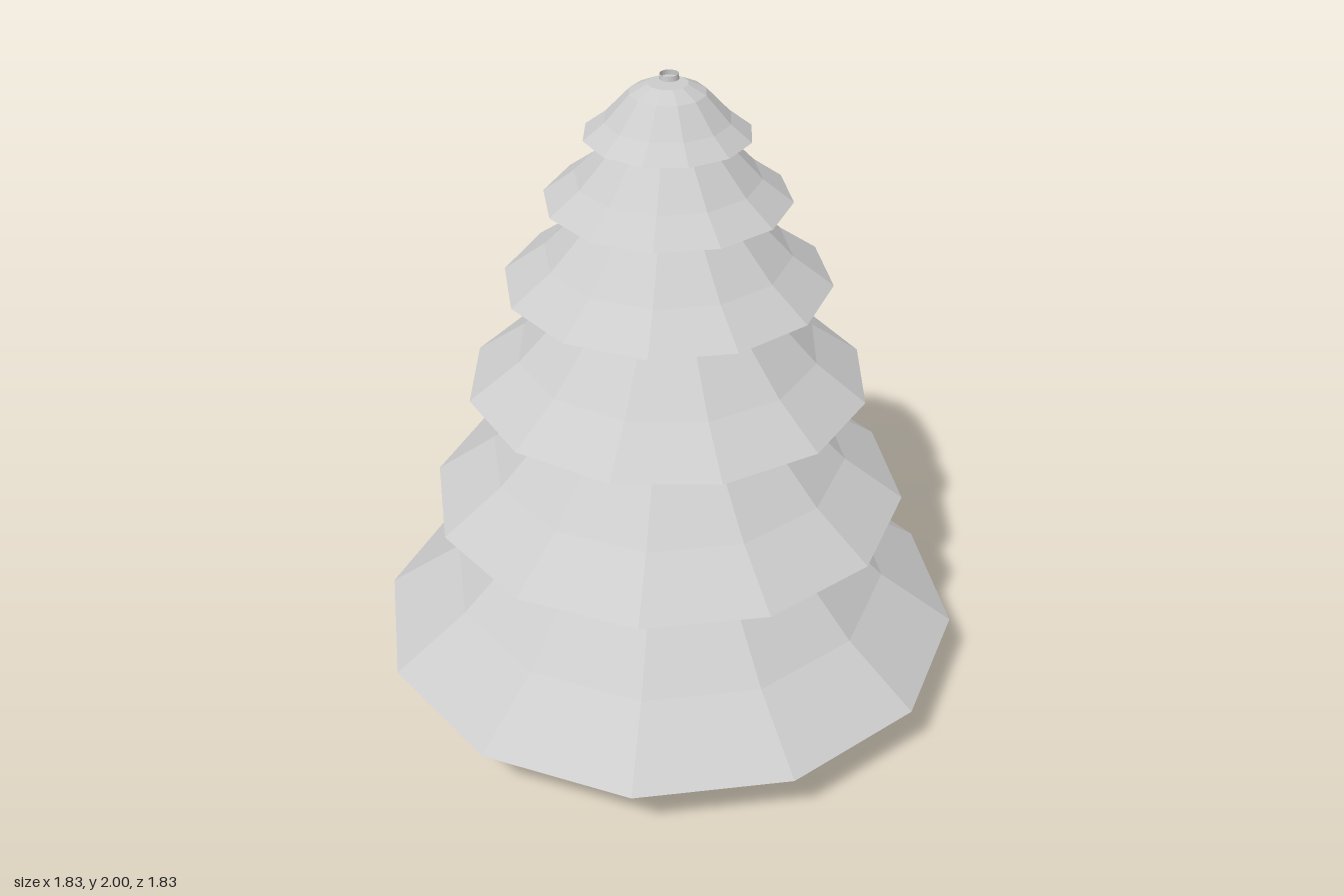
import * as THREE from 'three';

export function createModel() {
  const tree = new THREE.Group();
  tree.name = 'pineTree';
  const material = new THREE.MeshStandardMaterial({
    color: 0xcccccc, flatShading: true, side: THREE.DoubleSide,
  });

  // Tapered hollow trunk, slightly off centre, poking out of the crown
  const trunk = new THREE.Mesh(new THREE.CylinderGeometry(0.027, 0.186, 2, 24, 1, true), material);
  trunk.name = 'trunk';
  trunk.position.set(-0.015, 1, -0.027);
  tree.add(trunk);

  // Shared skirt profile: [radius, height] as fractions of a tier's size, flat on top
  const profile = [[1, 0], [0.75, 0.31], [0.455, 0.825], [0.24, 1], [0, 1]];

  // Twelve-sided branch skirts: base height, rim radius, height, twist in degrees
  const tiers = [
    [0.185, 0.915, 0.525, 0],
    [0.65, 0.73, 0.425, 0],
    [1.045, 0.605, 0.358, 9],
    [1.38, 0.485, 0.287, 0],
    [1.64, 0.36, 0.217, 0],
    [1.835, 0.243, 0.15, 10],
  ];
  tiers.forEach(([base, radius, height, twist], i) => {
    const points = profile.map(([r, h]) => new THREE.Vector2(r * radius, h * height));
    const skirt = new THREE.Mesh(new THREE.LatheGeometry(points, 12), material);
    skirt.name = `branchTier${i + 1}`;
    skirt.position.y = base;
    skirt.rotation.y = -THREE.MathUtils.degToRad(twist);
    tree.add(skirt);
  });

  return tree;
}
